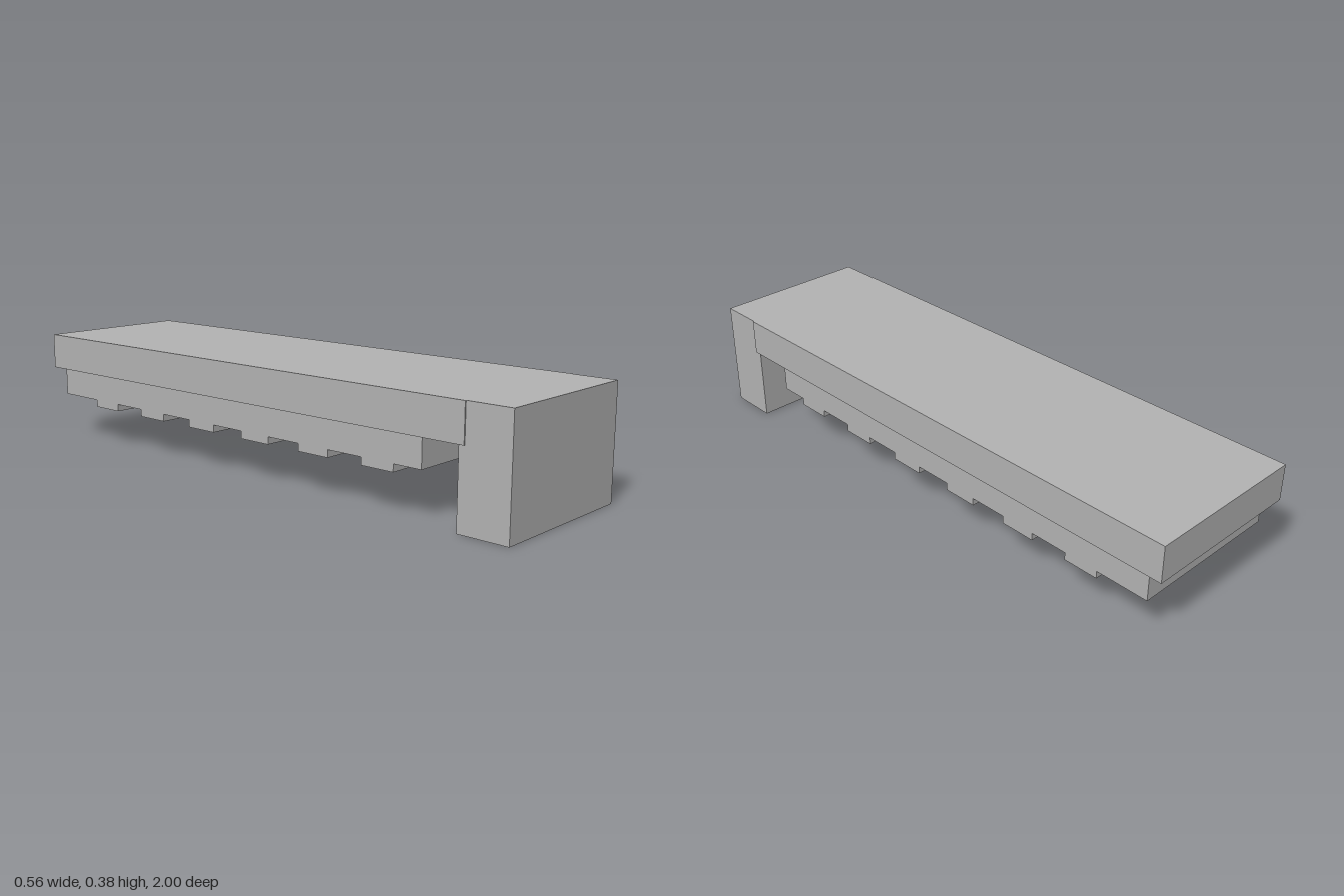
import * as THREE from 'three';

const grey = new THREE.MeshStandardMaterial({ color: 0xb2b2b2 });
grey.name = 'grey';

// Extrudes a side profile of [z, y] points across x, centred on x = 0.
function profilePart(name, points, width) {
  const shape = new THREE.Shape(points.map(([z, y]) => new THREE.Vector2(z, y)));
  const geometry = new THREE.ExtrudeGeometry(shape, { depth: width, bevelEnabled: false });
  geometry.translate(0, 0, -width / 2);
  geometry.rotateY(-Math.PI / 2);
  const mesh = new THREE.Mesh(geometry, grey);
  mesh.name = name;
  return mesh;
}

export function createModel() {
  const group = new THREE.Group();
  group.name = 'slabWithRibbedRail';
  const top = 0.375, slabBottom = 0.252, railBottom = 0.155, ribBottom = 0.13;

  // Wide top slab
  group.add(profilePart('topSlab',
    [[-1, slabBottom], [0.85, slabBottom], [0.85, top], [-1, top]], 0.56));

  // Front block, with a shallow ledge under the end of the slab
  group.add(profilePart('frontBlock',
    [[0.83, 0], [1, 0], [1, top], [0.85, top], [0.85, slabBottom], [0.83, slabBottom]], 0.552));

  // Rail under the slab with six evenly spaced cross ribs
  const rail = [[0.7, slabBottom], [-0.95, slabBottom], [-0.95, railBottom]];
  for (let i = 0; i < 6; i++) {
    const back = -0.77 + i * 0.25, front = back + 0.12;
    rail.push([back, railBottom], [back, ribBottom], [front, ribBottom], [front, railBottom]);
  }
  rail.push([0.7, railBottom]);
  group.add(profilePart('ribbedRail', rail, 0.53));

  return group;
}
